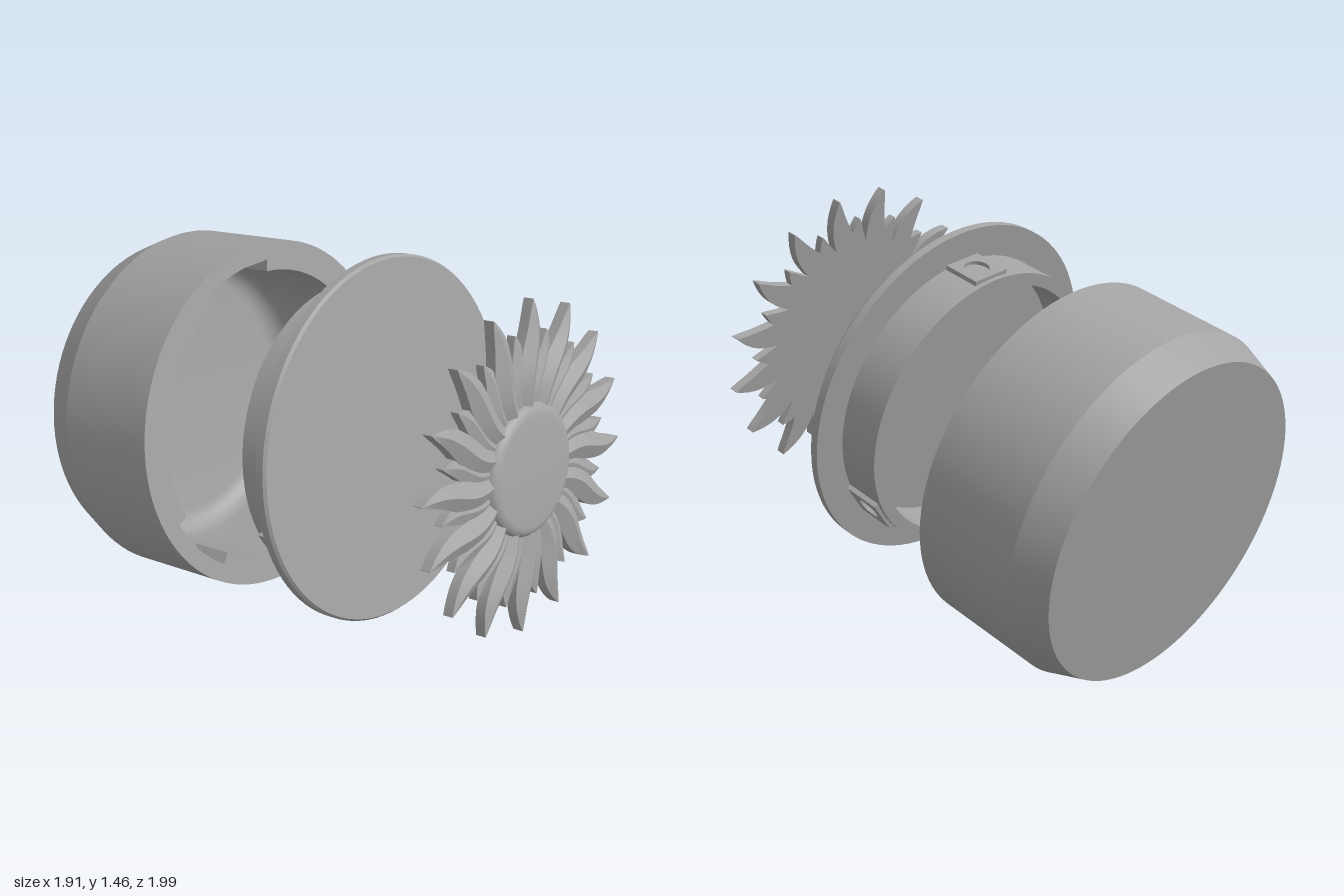
import * as THREE from 'three';
import { toCreasedNormals } from 'three/addons/utils/BufferGeometryUtils.js';

const grey = new THREE.MeshStandardMaterial({ color: 0xa3a3a3 });
grey.name = 'stone grey';

const SEGMENTS = 96;
const LOCKS = [84, 204, 324].map(THREE.MathUtils.degToRad);
const NOTCHES = [94, 214, 334].map(THREE.MathUtils.degToRad);

function part(name, geometry) {
  const mesh = new THREE.Mesh(geometry, grey);
  mesh.name = name;
  return mesh;
}

// Turned solid about z from [radius, z] points
function turned(points) {
  const g = new THREE.LatheGeometry(points.map(p => new THREE.Vector2(...p)), SEGMENTS);
  return toCreasedNormals(g.rotateX(Math.PI / 2), 0.3);
}

// Square locking pad with a round socket
function pad(depth) {
  const s = 0.073;
  const shape = new THREE.Shape([[-s, -s], [s, -s], [s, s], [-s, s]].map(p => new THREE.Vector2(...p)));
  const hole = new THREE.Path();
  hole.absarc(0, 0, 0.044, 0, Math.PI * 2, true);
  shape.holes.push(hole);
  return toCreasedNormals(
    new THREE.ExtrudeGeometry(shape, { depth, bevelEnabled: false, curveSegments: 24 }), 0.5);
}

function addPads(group, name, radius, z, depth, outward) {
  const geometry = pad(depth);
  for (const angle of LOCKS) {
    const holder = new THREE.Group();
    holder.rotation.z = angle;
    const mesh = part(name, geometry);
    mesh.position.set(radius, 0, z);
    mesh.rotation.y = outward ? Math.PI / 2 : -Math.PI / 2;
    holder.add(mesh);
    group.add(holder);
  }
}

// Ring inside the rim, its opening cut back by three notches
function notchedRing() {
  const shape = new THREE.Shape();
  shape.absarc(0, 0, 0.6, 0, Math.PI * 2, false);
  const half = 0.26;
  const opening = [];
  const arc = (r, from, to, n) => {
    for (let k = 0; k <= n; k++) {
      const a = from + (to - from) * k / n;
      opening.push(new THREE.Vector2(r * Math.cos(a), r * Math.sin(a)));
    }
  };
  for (const angle of NOTCHES) {
    arc(0.572, angle - half, angle + half, 8);
    arc(0.53, angle + half, angle + Math.PI * 2 / 3 - half, 26);
  }
  shape.holes.push(new THREE.Path(opening));
  const g = new THREE.ExtrudeGeometry(shape, { depth: 0.16, bevelEnabled: false, curveSegments: SEGMENTS });
  return toCreasedNormals(g.translate(0, 0, -0.16), 0.5);
}

// Wavy pointed petal along +x: flat back, upright edges and a raised ridge
function petalGeometry(length, halfWidth, edge, ridge, wave) {
  const steps = 14, start = 0.19;
  const positions = [], indices = [];
  for (let i = 0; i <= steps; i++) {
    const t = i / steps;
    const x = start + (length - start) * t;
    const bulge = Math.sin(Math.PI * (0.2 + 0.8 * t));
    const w = halfWidth * Math.pow(Math.max(bulge, 0), 0.85) + 0.001;
    const y = wave * Math.sin(Math.PI * 2 * t) - 0.02 * t * t;
    const top = edge + (ridge - edge) * bulge;
    positions.push(x, y - w, 0, x, y - w, edge, x, y, top, x, y + w, edge, x, y + w, 0);
  }
  for (let i = 0; i < steps; i++) {
    for (let k = 0; k < 5; k++) {
      const a = i * 5 + k, b = i * 5 + (k + 1) % 5;
      indices.push(a, a + 5, b, b, a + 5, b + 5);
    }
  }
  // End caps
  const last = steps * 5;
  for (let k = 1; k < 4; k++) {
    indices.push(0, k, k + 1, last, last + k + 1, last + k);
  }
  const g = new THREE.BufferGeometry();
  g.setAttribute('position', new THREE.Float32BufferAttribute(positions, 3));
  g.setIndex(indices);
  return toCreasedNormals(g, 0.45);
}

function createCup() {
  const cup = new THREE.Group();
  cup.name = 'cup';
  const profile = [[0, -0.53], [0.585, -0.53], [0.635, -0.4], [0.635, 0], [0.6, 0],
    [0.6, -0.16], [0.53, -0.16], [0.53, -0.36]];
  // Rounded inner floor corner
  for (let i = 1; i <= 6; i++) {
    const a = i / 6 * Math.PI / 2;
    profile.push([0.45 + 0.08 * Math.cos(a), -0.36 - 0.08 * Math.sin(a)]);
  }
  profile.push([0, -0.44]);
  cup.add(part('cupShell', turned(profile)), part('cupNotchedRing', notchedRing()));
  addPads(cup, 'cupLockPad', 0.59, -0.085, 0.026, false);
  return cup;
}

function createLid() {
  const lid = new THREE.Group();
  lid.name = 'lid';
  lid.add(part('lidDisc', turned([[0, -0.025], [0.48, -0.025], [0.48, -0.19], [0.525, -0.19],
    [0.525, -0.025], [0.638, -0.025], [0.638, 0.005], [0.63, 0.015], [0, 0.015]])));
  addPads(lid, 'lidLockPad', 0.5, -0.1, 0.037, true);
  return lid;
}

function createFlower() {
  const flower = new THREE.Group();
  flower.name = 'flower';
  const long = petalGeometry(0.555, 0.05, 0.036, 0.062, 0.013);
  const short = petalGeometry(0.455, 0.045, 0.03, 0.046, 0.011);
  const count = 16;
  for (let i = 0; i < count; i++) {
    const a = (i + 0.5) / count * Math.PI * 2;
    const front = part('longPetal', long);
    front.rotation.z = a;
    const back = part('shortPetal', short);
    back.rotation.z = a + Math.PI / count;
    flower.add(front, back);
  }
  // Backing plate that joins the petals
  flower.add(part('flowerBacking', turned([[0, 0], [0.36, 0], [0.36, 0.02], [0, 0.02]])));
  // Button with a rounded shoulder and flat face
  const profile = [[0.225, 0.01], [0.225, 0.03]];
  for (let i = 1; i <= 6; i++) {
    const a = i / 6 * Math.PI / 2;
    profile.push([0.185 + 0.04 * Math.cos(a), 0.03 + 0.034 * Math.sin(a)]);
  }
  profile.push([0, 0.064]);
  flower.add(part('flowerCentre', turned(profile)));
  return flower;
}

export function createModel() {
  const model = new THREE.Group();
  model.name = 'explodedFlowerBox';
  // All three pieces share one tilted axis
  const stack = new THREE.Group();
  stack.name = 'stack';
  stack.position.set(0.158, 0.81, 0.203);
  stack.rotation.set(-0.196, 0.671, 0, 'YXZ');
  const cup = createCup(), lid = createLid(), flower = createFlower();
  cup.position.z = -0.54;
  flower.position.z = 0.54;
  stack.add(cup, lid, flower);
  model.add(stack);
  return model;
}
